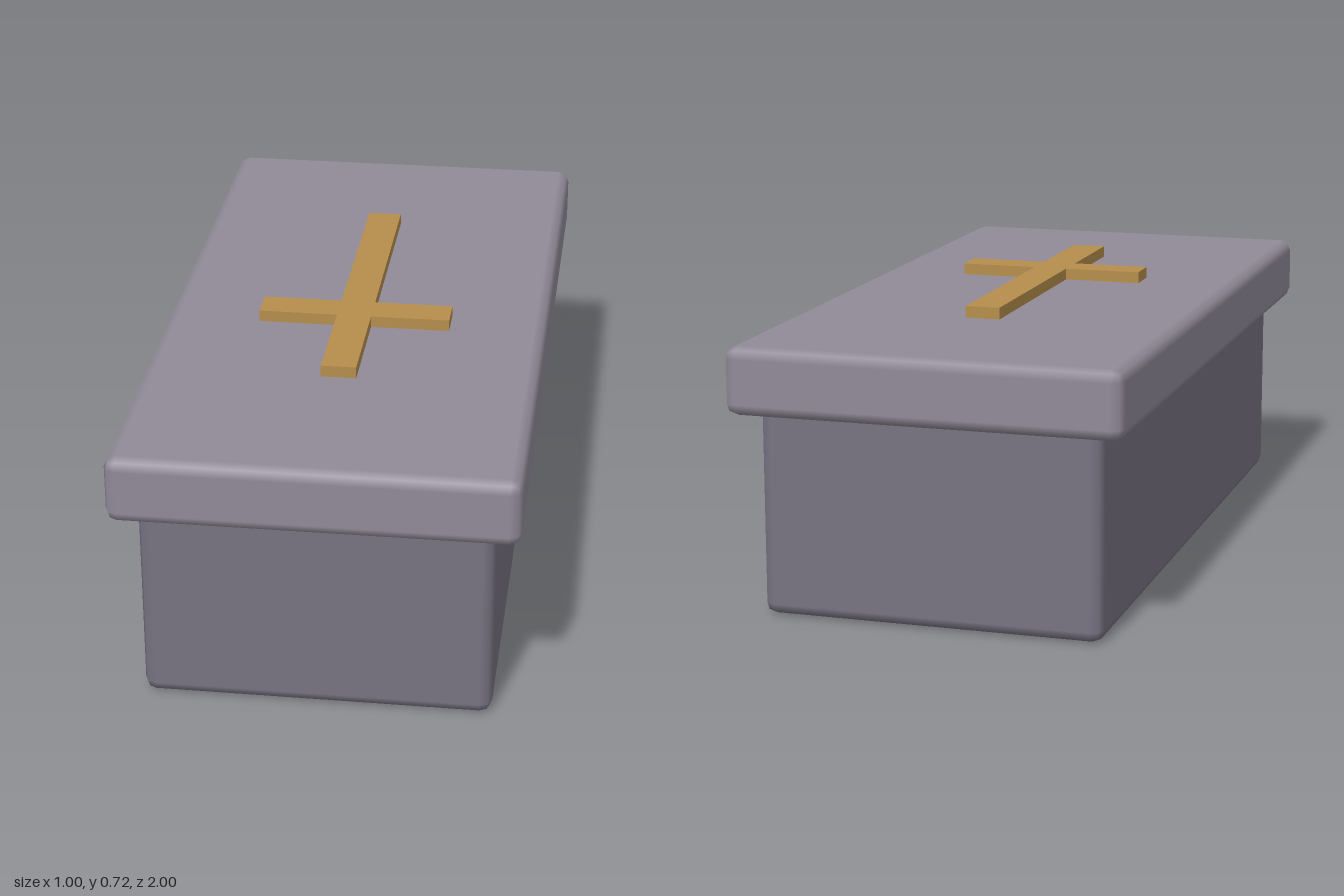
import * as THREE from 'three';
import { RoundedBoxGeometry } from 'three/addons/geometries/RoundedBoxGeometry.js';

const bodyStone = new THREE.MeshStandardMaterial({ color: 0x777281 });
const lidStone = new THREE.MeshStandardMaterial({ color: 0x918a98 });
const gold = new THREE.MeshStandardMaterial({ color: 0xb58e4c });

// Box with softly bevelled edges, spanning y0 to y1
function slab(name, width, depth, y0, y1, material) {
  const mesh = new THREE.Mesh(new RoundedBoxGeometry(width, y1 - y0, depth, 1, 0.03), material);
  mesh.position.y = (y0 + y1) / 2;
  mesh.name = name;
  return mesh;
}

// Cross outline in x and -z, extruded upwards
function cross(y0, y1) {
  const w = 0.045, arm = 0.25, half = 0.5, mid = -0.15;
  const right = [[w, -half], [w, mid - w], [arm, mid - w], [arm, mid + w], [w, mid + w], [w, half]];
  const left = right.map(([x, y]) => [-x, y]).reverse();
  const shape = new THREE.Shape([...right, ...left].map(([x, y]) => new THREE.Vector2(x, y)));
  const geometry = new THREE.ExtrudeGeometry(shape, { depth: y1 - y0, bevelEnabled: false });
  geometry.rotateX(-Math.PI / 2);
  const mesh = new THREE.Mesh(geometry, gold);
  mesh.position.y = y0;
  mesh.name = 'lidCross';
  return mesh;
}

export function createModel() {
  const group = new THREE.Group();
  group.name = 'sarcophagus';
  group.add(
    slab('body', 0.87, 1.87, 0, 0.56, bodyStone), // top edge sits inside the lid
    slab('lid', 1, 2, 0.515, 0.687, lidStone),
    cross(0.692, 0.722)
  );
  return group;
}
